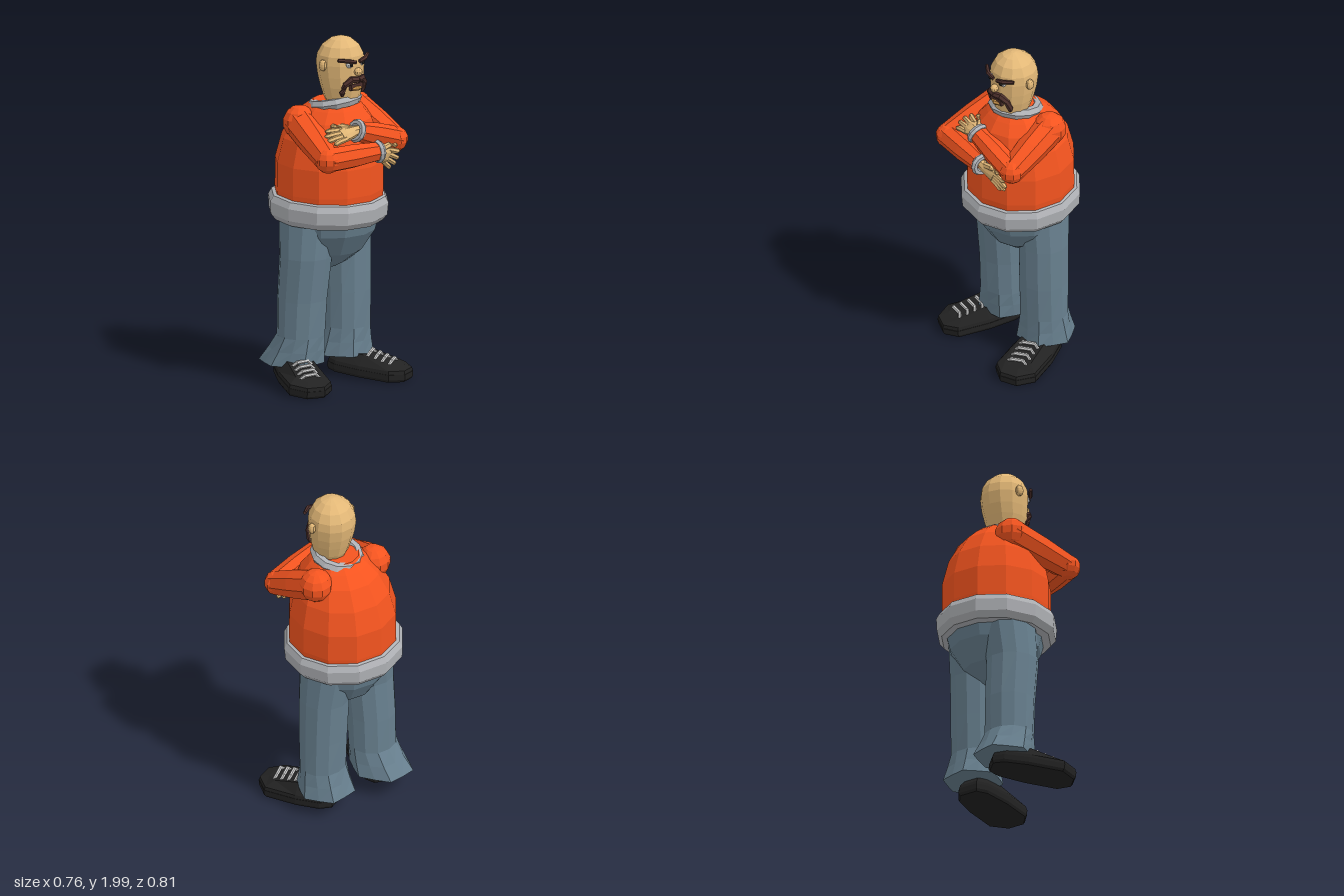
import * as THREE from 'three';

const V = (x, y, z) => new THREE.Vector3(x, y, z);
const mat = (color) => new THREE.MeshStandardMaterial({ color, flatShading: true, roughness: 0.9 });
const skin = mat(0xe3b877), orange = mat(0xf4541f), denim = mat(0x68808f), black = mat(0x222222);
const trim = mat(0xb0b2b6), brown = mat(0x4d302c), lip = mat(0xc8924a), white = mat(0xcccccc);

function mesh(parent, name, geometry, material, x = 0, y = 0, z = 0) {
  const m = new THREE.Mesh(geometry, material);
  m.name = name;
  m.position.set(x, y, z);
  parent.add(m);
  return m;
}

// Skin over a row of equal-length point rings, closed at both ends, always facing outwards
function loft(rings) {
  const tris = [], n = rings[0].length;
  for (let i = 0; i < rings.length - 1; i++) {
    for (let j = 0; j < n; j++) {
      const k = (j + 1) % n, a = rings[i], b = rings[i + 1];
      tris.push([a[j], a[k], b[k]], [a[j], b[k], b[j]]);
    }
  }
  [rings[0], rings[rings.length - 1]].forEach((r, end) => {
    const c = r.reduce((s, p) => s.add(p), V(0, 0, 0)).divideScalar(n);
    r.forEach((p, j) => tris.push(end ? [c, p, r[(j + 1) % n]] : [c, r[(j + 1) % n], p]));
  });
  const volume = tris.reduce((s, [a, b, c]) => s + a.dot(b.clone().cross(c)), 0);
  if (volume < 0) tris.forEach((t) => t.reverse());
  const g = new THREE.BufferGeometry().setFromPoints(tris.flat());
  g.computeVertexNormals();
  return g;
}

// Stack of level ovals: [y, centre x, centre z, radius x, radius z, pleat]
function stack(rows, sides = 12) {
  return loft(rows.map(([y, cx, cz, rx, rz = rx, pleat = 0]) =>
    Array.from({ length: sides }, (_, j) => {
      const a = ((j + 0.5) / sides) * Math.PI * 2, k = 1 + (j % 2 ? pleat : -pleat);
      return V(cx + Math.cos(a) * rx * k, y, cz + Math.sin(a) * rz * k);
    })));
}

// Round limb along points [x, y, z, radius]
function limb(pts, sides = 8) {
  const p = pts.map(([x, y, z]) => V(x, y, z));
  return loft(p.map((c, i) => {
    const t = p[Math.min(i + 1, p.length - 1)].clone().sub(p[Math.max(i - 1, 0)]).normalize();
    const u = t.clone().cross(Math.abs(t.y) > 0.9 ? V(1, 0, 0) : V(0, 1, 0)).normalize();
    const w = u.clone().cross(t);
    return Array.from({ length: sides }, (_, j) => {
      const a = (j / sides) * Math.PI * 2, r = pts[i][3];
      return c.clone().addScaledVector(u, Math.cos(a) * r).addScaledVector(w, Math.sin(a) * r);
    });
  }));
}

const ball = (r) => new THREE.SphereGeometry(r, 10, 7);

// Hand pointing along dir, thumb on the given side
function addHand(parent, name, wrist, dir, thumbSide) {
  const hand = new THREE.Group();
  hand.name = name;
  const y = dir.clone().normalize();
  const x = thumbSide.clone().addScaledVector(y, -thumbSide.dot(y)).normalize();
  hand.applyMatrix4(new THREE.Matrix4().makeBasis(x, y, x.clone().cross(y)).setPosition(wrist));
  parent.add(hand);
  const palm = [[-0.03, 0.03, 0.028], [0.02, 0.036, 0.026], [0.07, 0.05, 0.024], [0.1, 0.046, 0.018]];
  mesh(hand, 'palm', stack(palm.map(([h, a, b]) => [h, 0, 0, a, b]), 8), skin);
  for (let i = 0; i < 4; i++) {
    const s = i - 1.5, len = 0.2 - 0.012 * s * s;
    mesh(hand, 'finger', limb([[s * 0.024, 0.08, 0, 0.015], [s * 0.03, 0.14, 0.003, 0.016],
      [s * 0.034, len - 0.012, 0, 0.014], [s * 0.035, len, 0, 0.007]], 6), skin);
  }
  mesh(hand, 'thumb', limb([[0.02, 0.02, 0, 0.018], [0.06, 0.065, 0, 0.018],
    [0.075, 0.11, 0, 0.016], [0.077, 0.125, 0, 0.008]], 6), skin);
}

function addArm(parent, name, shoulder, elbow, wrist, hand, thumb) {
  const arm = new THREE.Group();
  arm.name = name;
  parent.add(arm);
  const at = (a, b, t, r) => [...a.clone().lerp(b, t).toArray(), r];
  mesh(arm, 'shoulder', ball(0.097), orange, ...shoulder);
  mesh(arm, 'upperArm', limb([at(shoulder, elbow, 0, 0.093), at(shoulder, elbow, 0.5, 0.086), at(shoulder, elbow, 1, 0.07)]), orange);
  mesh(arm, 'elbow', ball(0.072), orange, ...elbow);
  mesh(arm, 'forearm', limb([at(elbow, wrist, 0, 0.07), at(elbow, wrist, 0.5, 0.068), at(elbow, wrist, 1, 0.054)]), orange);
  const cuff = mesh(arm, 'cuff', new THREE.TorusGeometry(0.049, 0.019, 6, 12), trim, ...wrist);
  cuff.lookAt(wrist.clone().multiplyScalar(2).sub(elbow));
  addHand(arm, 'hand', wrist, hand, thumb);
}

// Shoe with its heel at the origin, toe towards +z; side +1 is the left foot
function addShoe(parent, name, side, x, z, yaw, pitch) {
  const shoe = new THREE.Group();
  shoe.name = name;
  shoe.rotation.set(pitch, yaw, 0, 'YXZ');
  shoe.position.set(x, pitch * 0.48 + 0.005, z);
  parent.add(shoe);
  const outline = [[0.06, 0], [0.105, 0.06], [0.128, 0.2], [0.13, 0.4], [0.05, 0.48],
    [-0.055, 0.48], [-0.12, 0.41], [-0.122, 0.22], [-0.1, 0.06], [-0.06, 0]];
  const top = (u) => (u < 0.2 ? 0.125 : 0.125 - (u - 0.2) * 0.2);
  const ring = (k, h) => outline.map(([v, u]) => {
    const w = 0.22 + (u - 0.22) * (k + (1 - k) * 0.4);
    return V(v * k * side, h === undefined ? top(w) : h, w);
  });
  mesh(shoe, 'sole', loft([ring(0.94, 0), ring(1, 0.015), ring(1, 0.045)]), black);
  mesh(shoe, 'upper', loft([ring(0.99, 0.04), ring(0.95, 0.065), ring(0.6)]), black);
  for (let i = 0; i < 4; i++) {
    const u = 0.24 + i * 0.045, h = top(u);
    mesh(shoe, 'lace', limb([[-0.062, h - 0.012, u, 0.009], [-0.035, h + 0.014, u + 0.008, 0.011],
      [0.035, h + 0.014, u - 0.008, 0.011], [0.062, h - 0.012, u, 0.009]], 6), white);
  }
}

function addHead(parent) {
  const head = new THREE.Group();
  head.name = 'head';
  head.position.set(0.035, 0, -0.068);
  head.rotation.y = 1.22;
  parent.add(head);
  mesh(head, 'skull', stack([[1.56, 0, -0.01, 0.1], [1.625, 0, 0.005, 0.085], [1.655, 0, 0.008, 0.103],
    [1.72, 0, 0.004, 0.12], [1.78, 0, -0.002, 0.13], [1.85, 0, -0.006, 0.136], [1.9, 0, -0.005, 0.13],
    [1.95, 0, -0.003, 0.104], [1.985, 0, 0, 0.06], [2.0, 0, 0, 0.012]]), skin);
  mesh(head, 'nose', ball(0.024), skin, 0, 1.815, 0.14);
  mesh(head, 'mouth', new THREE.BoxGeometry(0.09, 0.035, 0.03), brown, 0, 1.728, 0.115);
  mesh(head, 'lowerLip', limb([[-0.042, 1.717, 0.118, 0.009], [0, 1.719, 0.136, 0.014], [0.042, 1.717, 0.118, 0.009]], 6), lip);
  for (const s of [-1, 1]) {
    mesh(head, 'ear', ball(0.03), skin, s * 0.142, 1.852, 0).scale.set(0.7, 1.1, 0.8);
    mesh(head, 'eye', ball(0.02), white, s * 0.046, 1.86, 0.113);
    mesh(head, 'pupil', ball(0.011), black, s * 0.045, 1.86, 0.129);
    mesh(head, 'eyebrow', limb([[s * 0.015, 1.872, 0.135, 0.011], [s * 0.06, 1.884, 0.132, 0.013],
      [s * 0.115, 1.892, 0.095, 0.01]], 6), brown);
    mesh(head, 'moustache', limb([[0, 1.77, 0.138, 0.018], [s * 0.04, 1.775, 0.13, 0.02],
      [s * 0.073, 1.745, 0.11, 0.018], [s * 0.08, 1.7, 0.092, 0.018], [s * 0.076, 1.678, 0.088, 0.01]], 6), brown);
  }
}

export function createModel() {
  const model = new THREE.Group();
  model.name = 'standingMan';

  // Sweater
  mesh(model, 'torso', stack([[1.0, -0.045, -0.07, 0.3], [1.12, -0.04, -0.073, 0.31], [1.28, -0.04, -0.073, 0.308],
    [1.42, -0.035, -0.073, 0.275], [1.53, -0.02, -0.07, 0.225], [1.59, -0.01, -0.067, 0.17], [1.63, 0, -0.065, 0.125]]), orange);
  const band = mesh(model, 'waistband', stack([[-0.08, 0, 0, 0.27], [-0.075, 0, 0, 0.31], [-0.04, 0, 0, 0.338],
    [0.03, 0, 0, 0.343], [0.065, 0, 0, 0.325], [0.075, 0, 0, 0.29]]), trim, -0.045, 1.02, -0.07);
  band.rotation.z = -0.03;
  const collar = mesh(model, 'collar', new THREE.TorusGeometry(0.124, 0.032, 6, 12), trim, 0, 1.62, -0.063);
  collar.rotation.set(Math.PI / 2, 0.2, 0);

  addHead(model);

  // Folded arms
  addArm(model, 'rightArm', V(-0.14, 1.52, 0.1), V(0.13, 1.372, 0.295), V(0.292, 1.372, -0.01),
    V(0.035, -0.09, -0.17), V(0.35, 0.85, -0.4));
  addArm(model, 'leftArm', V(0.01, 1.54, -0.285), V(0.305, 1.4, -0.21), V(0.2, 1.5, 0.07),
    V(-0.11, -0.025, 0.16), V(-0.6, 0.5, -0.5));

  // Trousers
  mesh(model, 'hips', stack([[0.97, -0.04, -0.08, 0.28], [0.88, -0.04, -0.08, 0.258], [0.76, -0.04, -0.08, 0.18],
    [0.69, -0.04, -0.08, 0.09], [0.66, -0.04, -0.08, 0.035]]), denim);
  mesh(model, 'rightLeg', stack([[0.96, -0.11, 0.06, 0.165, 0.155], [0.75, -0.11, 0.085, 0.15, 0.147], [0.5, -0.132, 0.085, 0.142],
    [0.29, -0.14, 0.085, 0.135, 0.142, 0.01], [0.21, -0.165, 0.087, 0.155, 0.15, 0.04], [0.13, -0.195, 0.09, 0.178, 0.16, 0.06]]), denim);
  mesh(model, 'leftLeg', stack([[0.96, -0.03, -0.22, 0.165, 0.15], [0.75, -0.015, -0.235, 0.145, 0.143], [0.5, -0.01, -0.238, 0.138, 0.142],
    [0.29, -0.01, -0.24, 0.13, 0.142, 0.01], [0.21, -0.02, -0.24, 0.142, 0.15, 0.04], [0.13, -0.03, -0.24, 0.16, 0.162, 0.06]]), denim);

  // Shoes
  addShoe(model, 'rightShoe', -1, -0.25, 0.03, Math.PI / 4, 0.13);
  addShoe(model, 'leftShoe', 1, -0.1, -0.23, Math.PI / 2, 0.06);
  return model;
}
